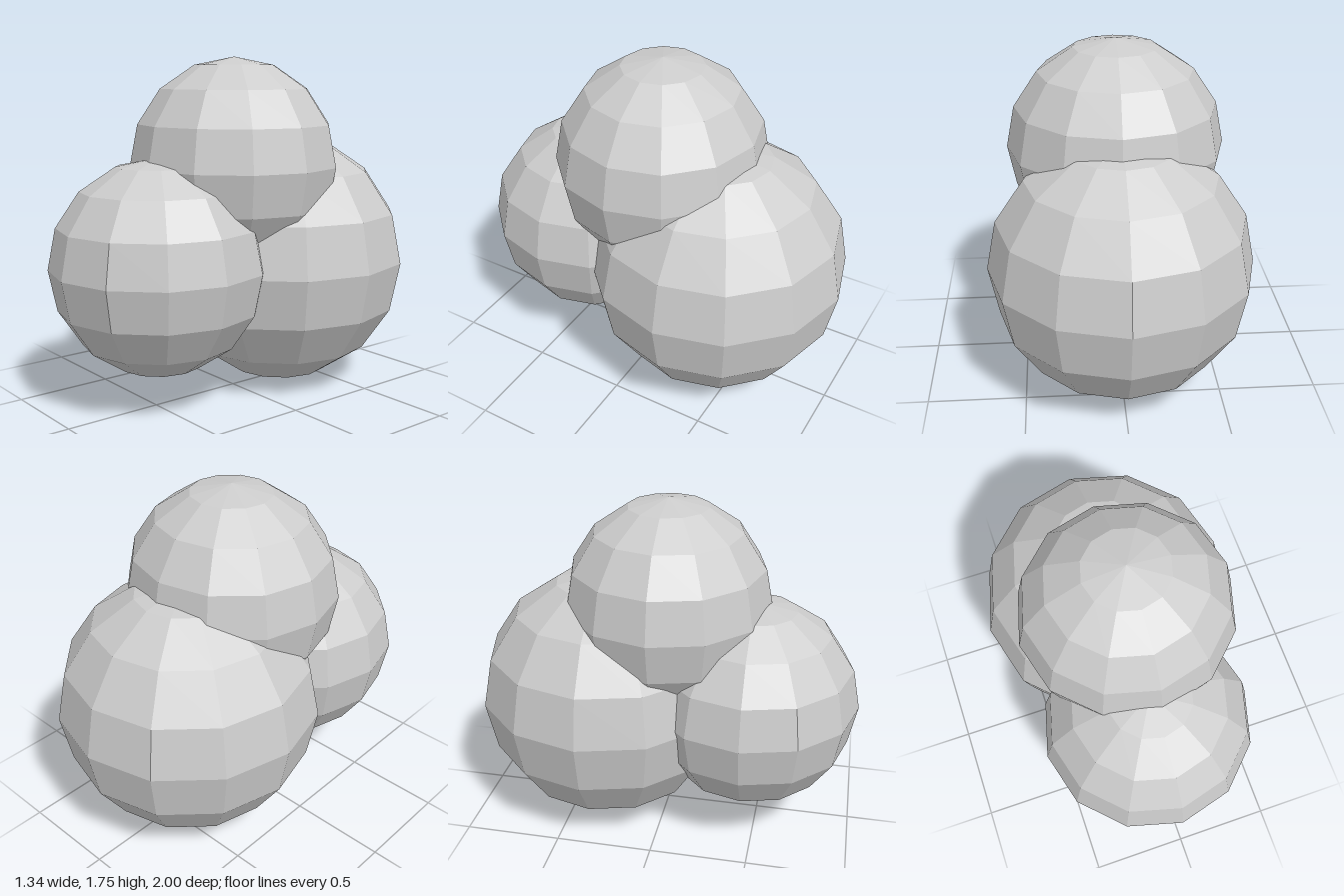
import * as THREE from 'three';

export function createModel() {
  const group = new THREE.Group();
  group.name = 'sphereCluster';

  const grey = new THREE.MeshStandardMaterial({ color: 0xcccccc, flatShading: true });
  grey.name = 'light grey';

  // One 12-sided, 8-ring faceted ball
  const ball = new THREE.SphereGeometry(1, 12, 8);
  function addBall(name, position, radii) {
    const mesh = new THREE.Mesh(ball, grey);
    mesh.name = name;
    mesh.position.set(...position);
    mesh.scale.set(...radii);
    group.add(mesh);
  }

  // Large ball at the back, smaller ones in front and on top
  addBall('backBall', [0, 0.672, -0.33], [0.67, 0.672, 0.67]);
  addBall('frontBall', [-0.03, 0.706, 0.45], [0.55, 0.546, 0.548]);
  addBall('topBall', [0.007, 1.195, -0.003], [0.55, 0.55, 0.535]);

  return group;
}
